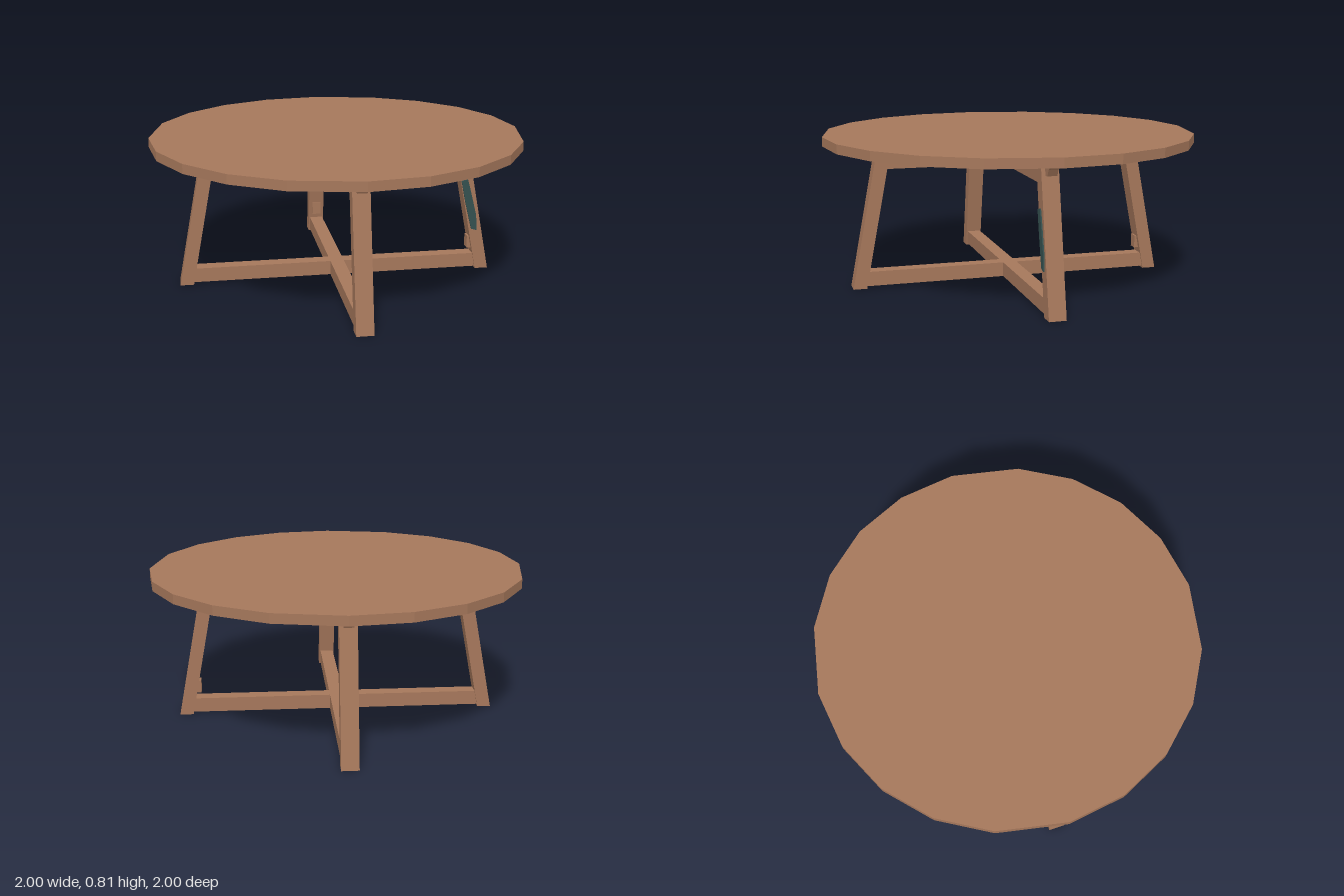
import * as THREE from 'three';

const wood = new THREE.MeshStandardMaterial({ color: 0xa5775b });
wood.name = 'warm wood';
const teal = new THREE.MeshStandardMaterial({ color: 0x34504f });
teal.name = 'dark teal patch';

const TOP_Y = 0.765;       // underside of the table top
const LEG_HALF = 0.045;    // half width of a leg
const LEG_DEPTH = 0.073;   // leg size along its frame
const outer = (y) => 0.868 - 0.191 * y;   // sloping outer edge of a leg
const inner = (y) => outer(y) - LEG_DEPTH;

// Flat outline in x and y, extruded evenly to both sides of z = zMid
function slab(name, points, depth, material = wood, zMid = 0) {
  const shape = new THREE.Shape(points.map(([x, y]) => new THREE.Vector2(x, y)));
  const geometry = new THREE.ExtrudeGeometry(shape, { depth, bevelEnabled: false });
  geometry.translate(0, 0, zMid - depth / 2);
  const mesh = new THREE.Mesh(geometry, material);
  mesh.name = name;
  return mesh;
}

function beam(name, halfLength, y0, y1, depth) {
  const mesh = new THREE.Mesh(new THREE.BoxGeometry(halfLength * 2, y1 - y0, depth), wood);
  mesh.position.y = (y0 + y1) / 2;
  mesh.name = name;
  return mesh;
}

// One trapezoid frame: two leaning legs, apron, bottom rail and end brackets
function createFrame(name, angle) {
  const frame = new THREE.Group();
  frame.name = name;
  for (const side of [1, -1]) {
    const half = new THREE.Group();
    half.name = side > 0 ? 'legPositiveEnd' : 'legNegativeEnd';
    half.add(slab('leg', [
      [inner(0), 0], [outer(0), 0], [outer(TOP_Y), TOP_Y], [inner(TOP_Y), TOP_Y],
    ], LEG_HALF * 2));
    // Bracket tapering outwards under the top
    half.add(slab('bracket', [
      [0.7, 0.685], [0.765, 0.69], [0.785, 0.725], [0.835, 0.75], [0.84, TOP_Y], [0.7, TOP_Y],
    ], 0.05));
    half.rotation.y = side > 0 ? 0 : Math.PI;
    frame.add(half);
  }
  frame.add(beam('apron', 0.7, 0.64, TOP_Y, 0.06));
  frame.add(beam('bottomRail', 0.81, 0.012, 0.09, 0.076));
  frame.rotation.y = angle;
  return frame;
}

// Small block on the inside of a leg
function innerBlock(side) {
  const block = new THREE.Mesh(new THREE.BoxGeometry(0.025, 0.07, 0.05), wood);
  block.position.set(side * (inner(0.155) - 0.005), 0.155, 0);
  block.name = 'innerBlock';
  return block;
}

export function createModel() {
  const table = new THREE.Group();
  table.name = 'roundTable';

  // Twenty-sided top, with slightly uneven corners
  const corners = [];
  for (let q = 0; q < 4; q++) {
    for (const a of [0, 17, 34.5, 55.5, 73]) {
      const t = THREE.MathUtils.degToRad(a + q * 90);
      corners.push([Math.cos(t), Math.sin(t)]);
    }
  }
  const top = slab('tableTop', corners, 0.05);
  top.rotation.x = -Math.PI / 2;
  top.position.y = TOP_Y + 0.025;
  table.add(top);

  // Two frames crossing at right angles
  const turn = THREE.MathUtils.degToRad(33.3);
  const frameA = createFrame('frameBackLeftToFrontRight', Math.PI / 2 - turn);
  const frameB = createFrame('frameFrontLeftToBackRight', -turn);
  frameA.add(innerBlock(1));
  frameB.add(innerBlock(-1));

  // Dark patch along the side of the back leg
  frameA.add(slab('legPatch', [
    [inner(0.23) + 0.012, 0.24], [inner(0.23) + 0.045, 0.23], [inner(0.32) + 0.055, 0.32],
    [inner(0.48) + 0.045, 0.48], [inner(0.53) + 0.04, 0.53], [inner(0.53) + 0.005, 0.52],
    [inner(0.4) + 0.005, 0.4],
  ], 0.008, teal, LEG_HALF + 0.003));
  table.add(frameA, frameB);
  return table;
}
